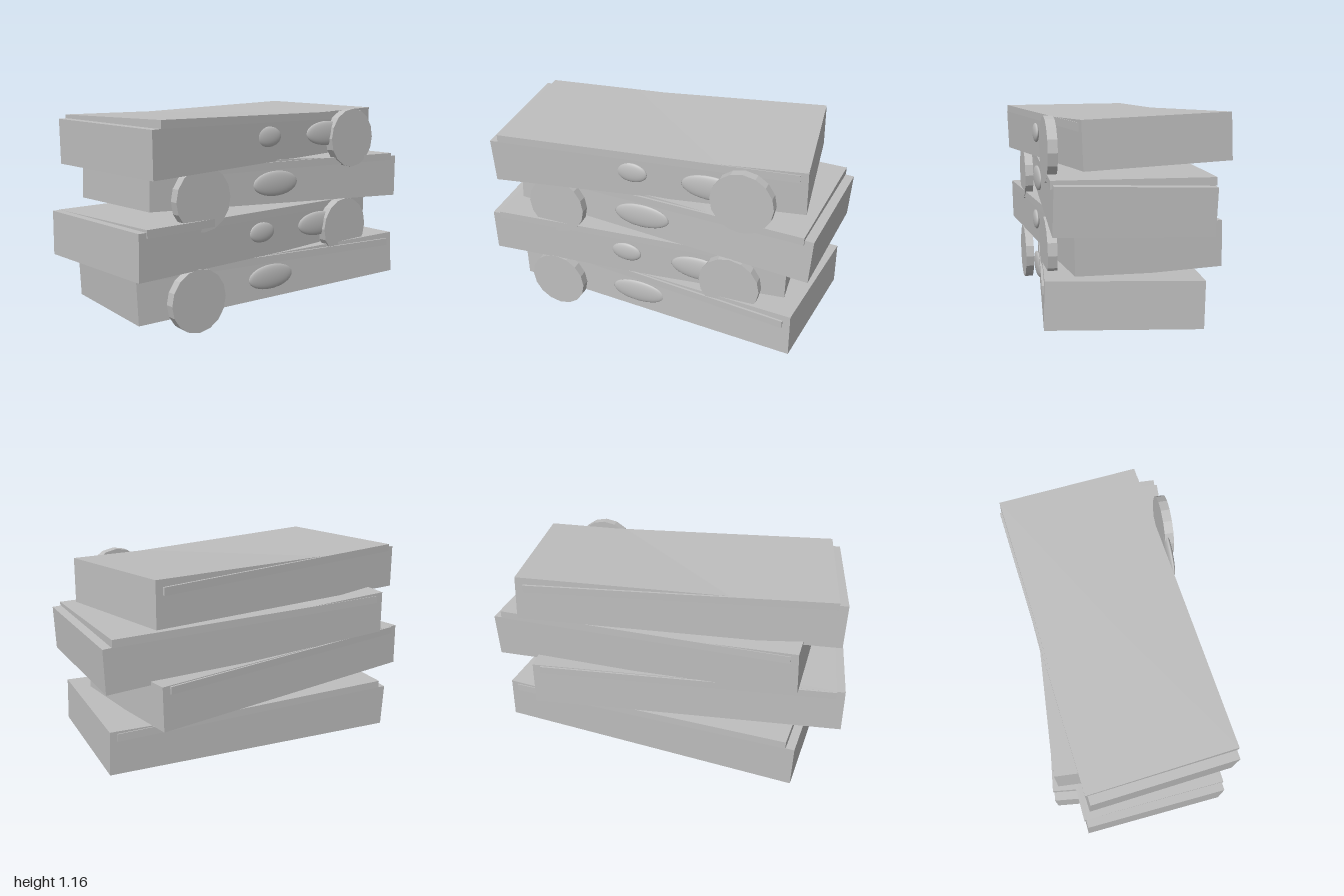
import * as THREE from 'three';

const grey = new THREE.MeshStandardMaterial({ color: 0xbebebe });
grey.name = 'plain grey';
const greyFlat = grey;

// One entry per slab, bottom to top.
// tilt = [pitch, yaw, roll]; disc = [x, y]; bumps = [x, y, rx, ry]
const layers = [
  { x: 0.064, y: 0.203, tilt: [-0.025, -0.104, 0.035], lidY: 0.31,
    disc: [-0.55, 0.17], bumps: [[-0.03, 0.212, 0.16, 0.07]] },
  { x: -0.095, y: 0.466, tilt: [0.018, 0.086, 0.003], lidY: 0.572,
    disc: [0.523, 0.438], bumps: [[-0.1, 0.473, 0.09, 0.056], [0.335, 0.475, 0.16, 0.07]] },
  { x: 0.104, y: 0.732, tilt: [-0.03, -0.055, -0.035], lidY: 0.835,
    disc: [-0.518, 0.7], bumps: [[0, 0.738, 0.16, 0.07]] },
  { x: -0.042, y: 0.993, tilt: [0.03, 0.12, 0.035], lidY: 1.097,
    disc: [0.57, 0.965], bumps: [[-0.055, 0.998, 0.09, 0.056], [0.39, 1.0, 0.16, 0.07]] },
];

const slabGeo = new THREE.BoxGeometry(1.745, 0.245, 0.79);
const lidGeo = new THREE.BoxGeometry(1.655, 0.042, 0.808);
// Faceted disc facing the front
const discGeo = new THREE.CylinderGeometry(0.171, 0.171, 0.05, 16)
  .rotateX(Math.PI / 2).toNonIndexed();
discGeo.computeVertexNormals();
const bumpGeo = new THREE.SphereGeometry(1, 24, 16);

function add(parent, name, geometry, x, y, z) {
  const mesh = new THREE.Mesh(geometry, greyFlat);
  mesh.name = name;
  mesh.position.set(x, y, z);
  parent.add(mesh);
  return mesh;
}

export function createModel() {
  const model = new THREE.Group();
  model.name = 'slabStack';
  layers.forEach((l, i) => {
    const layer = new THREE.Group();
    layer.name = `layer${i + 1}`;
    model.add(layer);

    // Tilted main slab
    const slab = add(layer, 'slab', slabGeo, l.x, l.y, 0);
    slab.rotation.set(l.tilt[0], l.tilt[1], l.tilt[2], 'YXZ');

    // Thin level plate that pokes out near the top edge
    add(layer, 'edgePlate', lidGeo, l.x, l.lidY, 0).rotation.y = l.tilt[1];

    // Front ornaments
    add(layer, 'disc', discGeo, l.disc[0], l.disc[1], 0.411);
    for (const [x, y, rx, ry] of l.bumps) {
      add(layer, 'ovalBump', bumpGeo, x, y, 0.4).scale.set(rx, ry, 0.018);
    }
  });
  return model;
}
